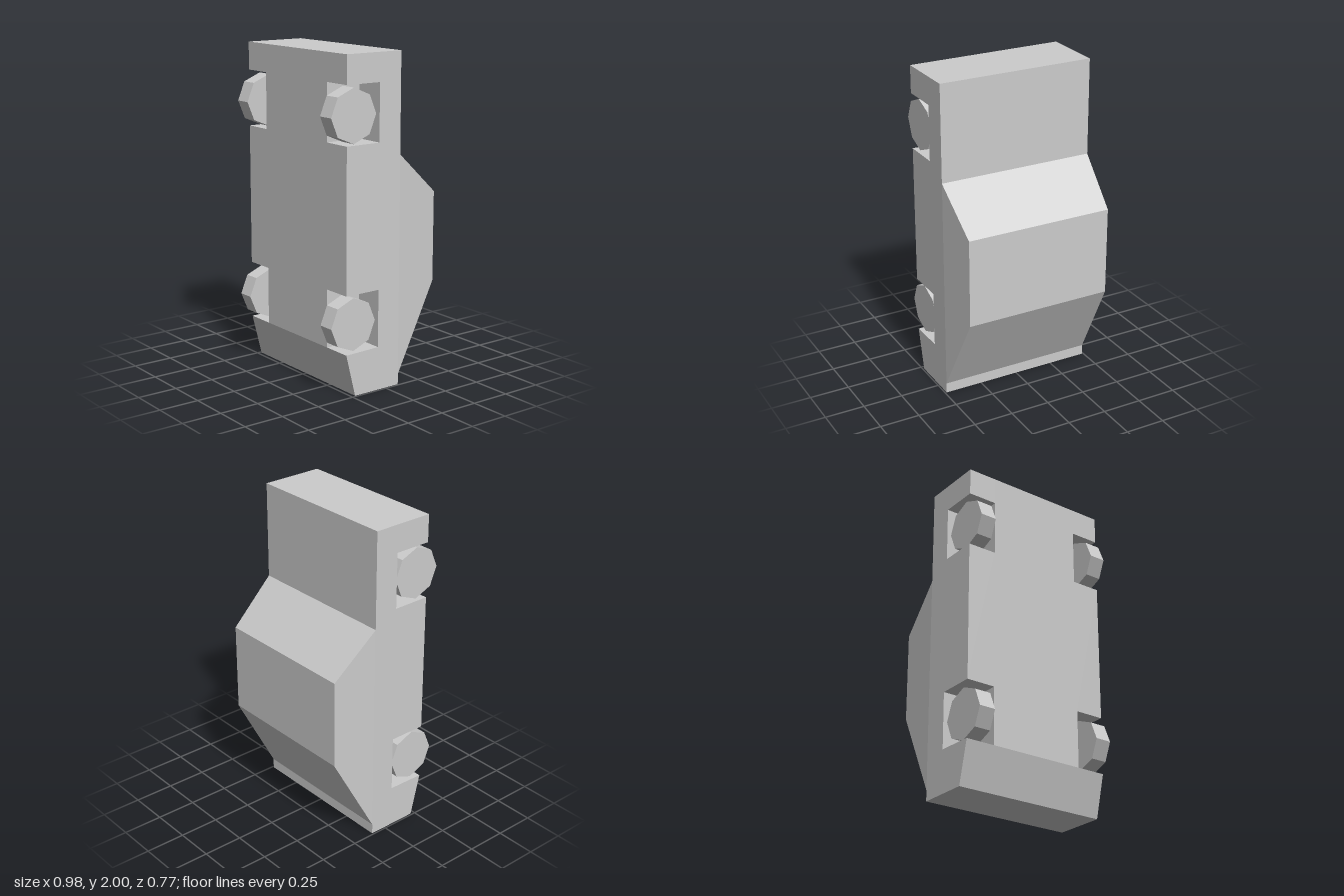
import * as THREE from 'three';

const paint = new THREE.MeshStandardMaterial({ color: 0xcccccc, flatShading: true });
paint.name = 'plain grey';

const HALF = 0.49;      // half width of the body
const WELL = 0.305;     // inner wall of the wheel wells
const BACK = -0.1, FRONT = 0.29, WELL_Z = 0.055;

function addMesh(group, geometry, name) {
  const mesh = new THREE.Mesh(geometry, paint);
  mesh.name = name;
  group.add(mesh);
  return mesh;
}

// Extrudes a (z, y) side profile across the width from x0 to x1
function slab(profile, x0, x1) {
  const shape = new THREE.Shape(profile.map(([z, y]) => new THREE.Vector2(-z, y)));
  const geometry = new THREE.ExtrudeGeometry(shape, { depth: x1 - x0, bevelEnabled: false });
  return geometry.rotateY(Math.PI / 2).translate(x0, 0, 0);
}

export function createModel() {
  const model = new THREE.Group();
  model.name = 'uprightCar';

  // Lower body: a full centre section and two sides with wheel wells cut out
  const nose = [[BACK, 0], [0.225, 0], [FRONT, 0.26]];
  const tail = [[FRONT, 2], [BACK, 2]];
  const wells = [
    [WELL_Z, 0.265], [WELL_Z, 0.615], [FRONT, 0.615],
    [FRONT, 1.485], [WELL_Z, 1.485], [WELL_Z, 1.83], [FRONT, 1.83],
  ];
  addMesh(model, slab([...nose, ...tail], -WELL, WELL), 'bodyCentre');
  addMesh(model, slab([...nose, ...wells, ...tail], WELL, HALF), 'bodyLeft');
  addMesh(model, slab([...nose, ...wells, ...tail], -HALF, -WELL), 'bodyRight');

  // Cabin: a box whose roof end is narrowed on all sides
  const cabin = new THREE.BoxGeometry(2, 2, 2);
  const p = cabin.attributes.position;
  for (let i = 0; i < p.count; i++) {
    const roof = p.getZ(i) < 0;
    const top = p.getY(i) > 0;
    const x = Math.sign(p.getX(i)) * (roof ? 0.465 : HALF);
    const y = roof ? (top ? 1.145 : 0.595) : (top ? 1.4 : 0.065);
    p.setXYZ(i, x, y, roof ? -0.385 : BACK);
  }
  cabin.computeVertexNormals();
  addMesh(model, cabin, 'cabin');

  // Four eight-sided wheels
  const wheel = new THREE.CylinderGeometry(0.16, 0.16, 0.103, 8).rotateZ(Math.PI / 2);
  for (const [end, y] of [['front', 0.43], ['rear', 1.65]]) {
    for (const [side, sx] of [['Left', 1], ['Right', -1]]) {
      addMesh(model, wheel, `${end}${side}Wheel`).position.set(sx * 0.419, y, 0.225);
    }
  }
  return model;
}
